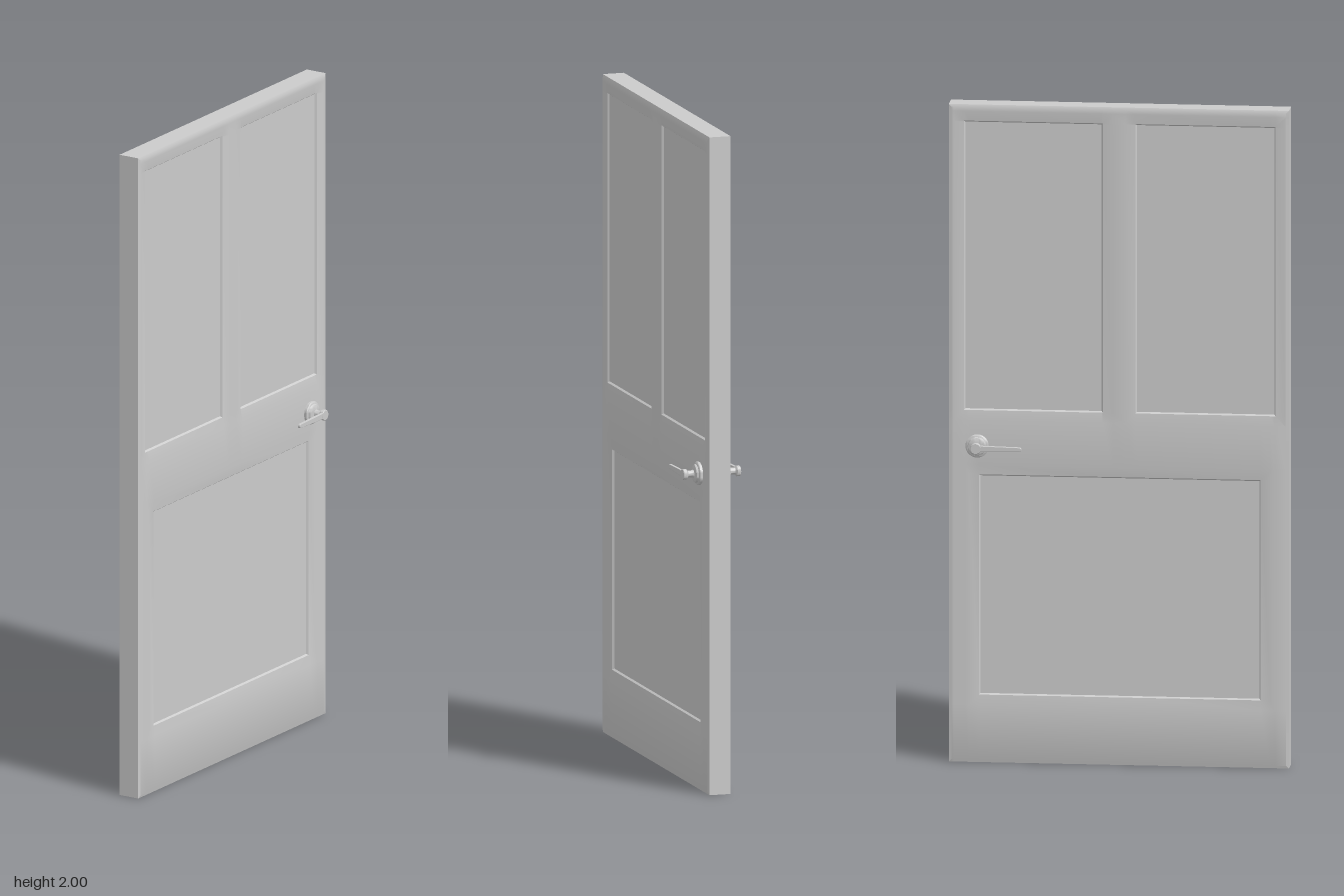
import * as THREE from 'three';
import { toCreasedNormals } from 'three/addons/utils/BufferGeometryUtils.js';

const HALF = 0.036, WIDTH = 0.51, HEIGHT = 2;
const EDGE = 0.008, EDGE_DROP = 0.003;    // softened outer edge
const SLOPE = 0.03, SLOPE_DROP = 0.004;   // gentle moulding around a panel
const STEP = 0.004, PANEL_DROP = 0.01;    // crisp step down to the panel

// Recessed panels: [z0, z1, y0, y1]
const PANELS = [
  [0.05, 0.47, 1.07, 1.95],
  [-0.465, -0.048, 1.07, 1.95],
  [-0.42, 0.425, 0.205, 0.875],
];

// Half thickness of the door at a point of its face
function thickness(z, y) {
  let drop = 0;
  for (const [z0, z1, y0, y1] of PANELS) {
    const d = Math.max(z0 - z, z - z1, y0 - y, y - y1);
    const slope = SLOPE_DROP * THREE.MathUtils.clamp(1 - d / SLOPE, 0, 1);
    const step = (PANEL_DROP - SLOPE_DROP) * THREE.MathUtils.clamp(-d / STEP, 0, 1);
    drop = Math.max(drop, slope + step);
  }
  const rim = Math.min(WIDTH - Math.abs(z), y, HEIGHT - y);
  return HALF - drop - EDGE_DROP * THREE.MathUtils.clamp(1 - rim / EDGE, 0, 1);
}

// Grid lines along one axis wherever the face changes slope
function gridLines(min, max, first) {
  const lines = [min, min + EDGE, max - EDGE, max];
  for (const p of PANELS) {
    const a = p[first], b = p[first + 1];
    lines.push(a - SLOPE, a, a + STEP, b - STEP, b, b + SLOPE);
  }
  lines.sort((a, b) => a - b);
  return lines.filter((v, i) => i === 0 || v - lines[i - 1] > 1e-5);
}

function doorGeometry() {
  const pos = [];
  const tri = (a, b, c) => pos.push(...a, ...b, ...c);
  const zs = gridLines(-WIDTH, WIDTH, 0), ys = gridLines(0, HEIGHT, 2);

  // Both panelled faces, with cells split along the mitre
  for (const s of [1, -1]) {
    const at = (i, j) => [s * thickness(zs[i], ys[j]), ys[j], zs[i]];
    for (let i = 0; i < zs.length - 1; i++) {
      for (let j = 0; j < ys.length - 1; j++) {
        let q = [at(i, j), at(i, j + 1), at(i + 1, j + 1), at(i + 1, j)];
        if (s < 0) q.reverse();
        const [a, b, c, d] = q;
        if (Math.abs(a[0] - c[0]) >= Math.abs(b[0] - d[0])) { tri(a, b, c); tri(a, c, d); }
        else { tri(a, b, d); tri(b, c, d); }
      }
    }
  }

  // Narrow sides joining the two faces
  const x = HALF - EDGE_DROP;
  const corners = [[-WIDTH, 0], [-WIDTH, HEIGHT], [WIDTH, HEIGHT], [WIDTH, 0]];
  corners.forEach(([z, y], i) => {
    const [z2, y2] = corners[(i + 1) % 4];
    const a = [x, y, z], b = [-x, y, z], c = [-x, y2, z2], d = [x, y2, z2];
    tri(a, b, c);
    tri(a, c, d);
  });

  const geo = new THREE.BufferGeometry();
  geo.setAttribute('position', new THREE.Float32BufferAttribute(pos, 3));
  return toCreasedNormals(geo, 0.45);
}

// Handle pointing along +x from the door face, lever reaching along +z
function createHandle(material, name) {
  const handle = new THREE.Group();
  handle.name = name;
  const add = (geo, part) => {
    const mesh = new THREE.Mesh(geo, material);
    mesh.name = part;
    handle.add(mesh);
    return mesh;
  };

  // Stepped rose plate, neck and flared end: [radius, distance from centre]
  const profile = [
    [0, 0.03], [0.034, 0.03], [0.035, 0.044], [0.033, 0.046], [0.028, 0.047],
    [0.026, 0.053], [0.022, 0.055], [0.012, 0.056], [0.0105, 0.062],
    [0.0105, 0.074], [0.016, 0.079], [0.0165, 0.088], [0.015, 0.09], [0, 0.09],
  ].map(([r, h]) => new THREE.Vector2(r, h));
  const rose = toCreasedNormals(new THREE.LatheGeometry(profile, 28), 0.6);
  rose.rotateZ(-Math.PI / 2);
  add(rose, 'roseAndNeck');

  // Flat lever with a slight taper and rounded tip
  const bar = new THREE.Shape();
  bar.moveTo(0, -0.008);
  bar.lineTo(0.13, -0.005);
  bar.absarc(0.131, 0, 0.005, -Math.PI / 2, Math.PI / 2);
  bar.lineTo(0, 0.008);
  const lever = new THREE.ExtrudeGeometry(bar, {
    depth: 0.006, bevelThickness: 0.0015, bevelSize: 0.0015, bevelSegments: 2, curveSegments: 8,
  });
  lever.rotateY(-Math.PI / 2);
  lever.translate(0.0875, 0, 0);
  add(lever, 'lever');
  return handle;
}

export function createModel() {
  const model = new THREE.Group();
  model.name = 'door';
  const material = new THREE.MeshStandardMaterial({ color: 0xcccccc });

  const slab = new THREE.Mesh(doorGeometry(), material);
  slab.name = 'doorSlab';
  model.add(slab);

  // Matching handles on both faces; the second is turned over to keep its lever along +z
  const left = createHandle(material, 'leftHandle');
  left.position.set(0, 0.963, -0.424);
  const right = createHandle(material, 'rightHandle');
  right.position.copy(left.position);
  right.rotation.z = Math.PI;
  model.add(left, right);
  return model;
}
